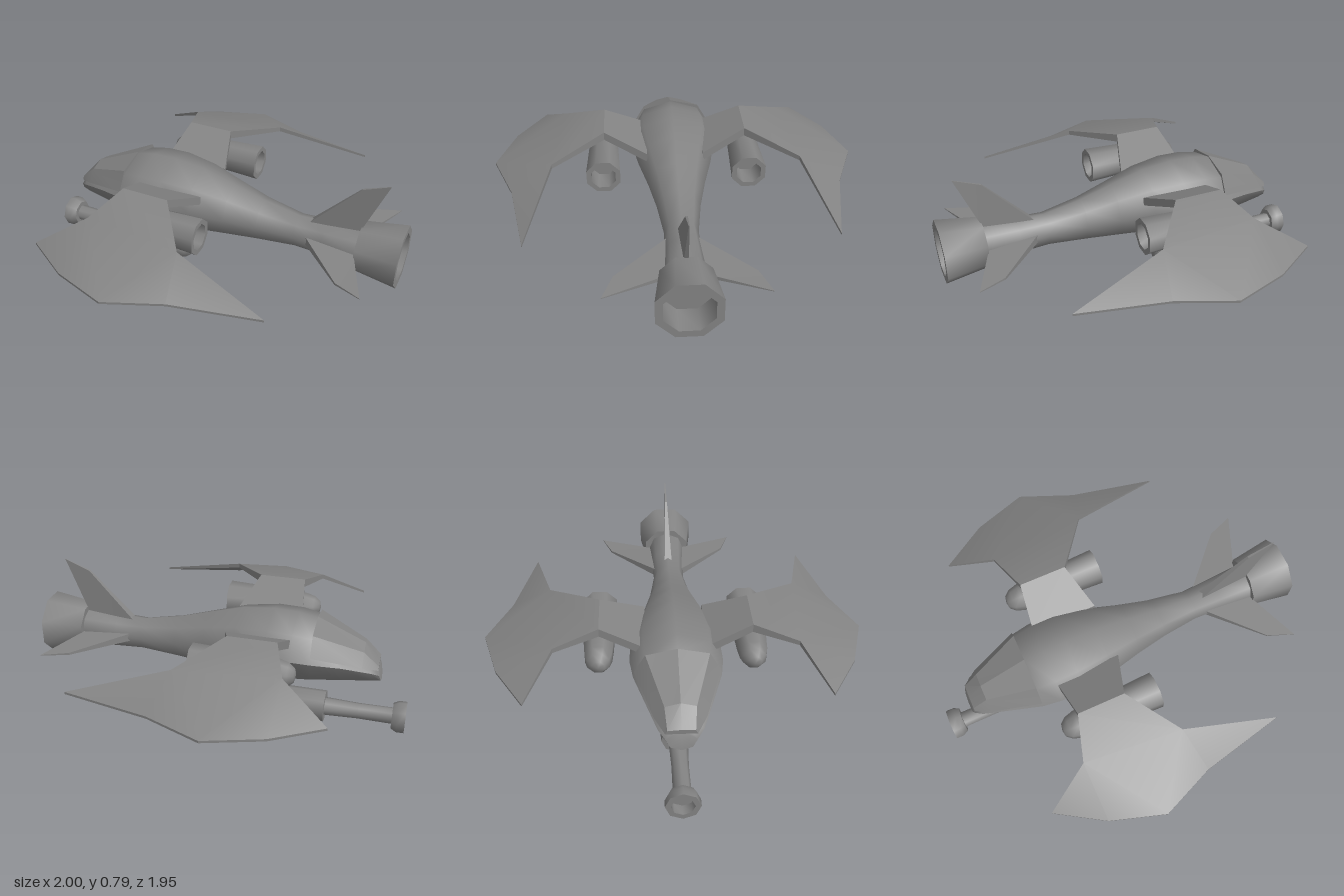
import * as THREE from 'three';
import { toCreasedNormals } from 'three/addons/utils/BufferGeometryUtils.js';

const material = new THREE.MeshStandardMaterial({ color: 0x848484 });

function makeMesh(name, geometry, crease = 0.9) {
  const mesh = new THREE.Mesh(toCreasedNormals(geometry, crease), material);
  mesh.name = name;
  return mesh;
}

// triangles over a list of [x, y, z] points
function fromTriangles(points, triangles) {
  const geometry = new THREE.BufferGeometry();
  geometry.setAttribute('position', new THREE.Float32BufferAttribute(points.flat(), 3));
  geometry.setIndex(triangles.flat());
  return geometry;
}

// capped skin over rings that run from y towards z, ordered along +x
function loft(rings) {
  const n = rings[0].length, last = (rings.length - 1) * n, tris = [];
  for (let i = 0; i < rings.length - 1; i++) {
    for (let j = 0; j < n; j++) {
      const a = i * n + j, b = i * n + (j + 1) % n;
      tris.push([a, b, b + n], [a, b + n, a + n]);
    }
  }
  for (let j = 1; j < n - 1; j++) tris.push([0, j + 1, j], [last, last + j, last + j + 1]);
  return fromTriangles(rings.flat(), tris);
}

// plate between two matching outlines, counter-clockwise seen from the top one
function plate(top, bottom, tris) {
  const n = top.length;
  const all = [...tris, ...tris.map(([a, b, c]) => [a + n, c + n, b + n])];
  for (let a = 0; a < n; a++) {
    const b = (a + 1) % n;
    all.push([a + n, b + n, b], [a + n, b, a]);
  }
  return fromTriangles([...top, ...bottom], all);
}

// eight-sided turned part along x, profile given as [radius, x]
function turned(name, profile, flatTop) {
  const points = profile.map(([r, x]) => new THREE.Vector2(r, x));
  const geometry = new THREE.LatheGeometry(points, 8, flatTop ? Math.PI / 8 : 0);
  geometry.rotateZ(-Math.PI / 2);
  return makeMesh(name, geometry);
}

function createFuselage() {
  // x, bottom, top, half width, height of widest line
  const sections = [
    [-0.855, 0.31, 0.41, 0.075, 0.365], [-0.8, 0.307, 0.43, 0.108, 0.39],
    [-0.65, 0.297, 0.51, 0.165, 0.43], [-0.5, 0.285, 0.618, 0.217, 0.455],
    [-0.4, 0.278, 0.637, 0.232, 0.465], [-0.27, 0.273, 0.643, 0.23, 0.465],
    [-0.1, 0.272, 0.625, 0.198, 0.455], [0.08, 0.28, 0.575, 0.15, 0.435],
    [0.25, 0.293, 0.525, 0.113, 0.415], [0.45, 0.31, 0.487, 0.086, 0.4],
    [0.6, 0.304, 0.493, 0.094, 0.4], [0.8, 0.294, 0.506, 0.106, 0.4],
  ];
  const rings = sections.map(([x, bottom, top, w, mid], i) =>
    Array.from({ length: 8 }, (_, j) => {
      const a = j * Math.PI / 4, c = Math.cos(a);
      const y = mid + c * (c > 0 ? top - mid : mid - bottom);
      return [x + (i === 0 ? 0.25 * (y - bottom) : 0), y, w * Math.sin(a)];
    }));
  return makeMesh('fuselage', loft(rings));
}

function createCanopy() {
  // x, base height, base half width, roof edge height, roof half width, ridge height
  const sections = [
    [-0.835, 0.395, 0.076, 0.415, 0.066, 0.42],
    [-0.755, 0.425, 0.125, 0.49, 0.075, 0.51],
    [-0.5, 0.49, 0.212, 0.59, 0.155, 0.624],
  ];
  const rings = sections.map(([x, yb, wb, ye, we, yr]) =>
    [[x, yr, 0], [x, ye, we], [x, yb, wb], [x, yb, -wb], [x, ye, -we]]);
  return makeMesh('canopy', loft(rings), 0.3);
}

function createWing() {
  // x, top height, z, thickness: down the leading edge, round the tip and back
  const outline = [
    [-0.395, 0.55, 0.15, 0.047], [-0.365, 0.652, 0.377, 0.045], [-0.435, 0.595, 0.6, 0.025],
    [-0.67, 0.458, 0.737, 0.012], [-0.43, 0.46, 0.887, 0.012], [-0.15, 0.46, 0.977, 0.012],
    [0.13, 0.46, 0.862, 0.012], [0.572, 0.458, 0.767, 0.012], [0.08, 0.587, 0.647, 0.025],
    [-0.115, 0.652, 0.377, 0.045], [-0.045, 0.55, 0.15, 0.047],
  ];
  const tris = [[0, 1, 9], [0, 9, 10], [1, 2, 8], [1, 8, 9], [2, 3, 4],
    [2, 4, 5], [2, 5, 8], [5, 6, 8], [6, 7, 8]];
  const top = outline.map(([x, y, z]) => [x, y, z]);
  const bottom = outline.map(([x, y, z, t]) => [x, y - t, z]);
  return makeMesh('wing', plate(top, bottom, tris), 0.35);
}

function createFin() {
  // x, distance from the tail axis, half thickness
  const outline = [[0.51, 0.075, 0.022], [0.77, 0.085, 0.012], [0.895, 0.39, 0.002], [0.757, 0.337, 0.006]];
  const side = (s) => outline.map(([x, y, t]) => [x, y, s * t]);
  return makeMesh('tailFin', plate(side(1), side(-1), [[0, 1, 3], [1, 2, 3]]), 0.3);
}

function createGun() {
  const gun = new THREE.Group();
  gun.name = 'gun';
  const parts = [
    turned('gunHousing', [[0, -0.57], [0.087, -0.57], [0.087, -0.225], [0.077, -0.195], [0.05, -0.175], [0, -0.172]]),
    turned('gunBarrel', [[0.045, -0.95], [0.043, -0.75], [0.05, -0.56]]),
    turned('gunMuzzle', [[0, -0.945], [0.058, -0.945], [0.058, -1], [0.086, -1], [0.086, -0.96], [0.07, -0.93], [0, -0.93]]),
  ];
  parts.forEach((part) => { part.position.y = 0.088; });
  const mount = makeMesh('gunMount', new THREE.CylinderGeometry(0.048, 0.033, 0.16, 8));
  mount.position.set(-0.28, 0.225, 0);
  gun.add(...parts, mount);
  return gun;
}

export function createModel() {
  const model = new THREE.Group();
  model.name = 'spaceFighter';
  model.add(createFuselage(), createCanopy(), createGun());

  // main exhaust at the tail
  const nozzle = turned('mainNozzle', [[0, 0.78], [0.134, 0.78], [0.167, 1], [0.128, 1], [0.128, 0.86], [0, 0.86]], true);
  nozzle.position.y = 0.4;
  model.add(nozzle);

  // wings with an engine slung under each
  for (const s of [1, -1]) {
    const wing = createWing();
    wing.scale.z = s;
    const engine = turned('wingEngine', [[0, -0.462], [0.035, -0.455], [0.06, -0.425], [0.073, -0.38],
      [0.08, -0.3], [0.096, 0.065], [0.069, 0.065], [0.069, -0.06], [0, -0.06]], true);
    engine.position.set(0, 0.487, s * 0.385);
    model.add(wing, engine);
  }

  // one upright and two level fins round the tail
  for (const angle of [0, Math.PI / 2, -Math.PI / 2]) {
    const fin = createFin();
    fin.rotation.x = angle;
    fin.position.y = 0.4;
    model.add(fin);
  }
  return model;
}
